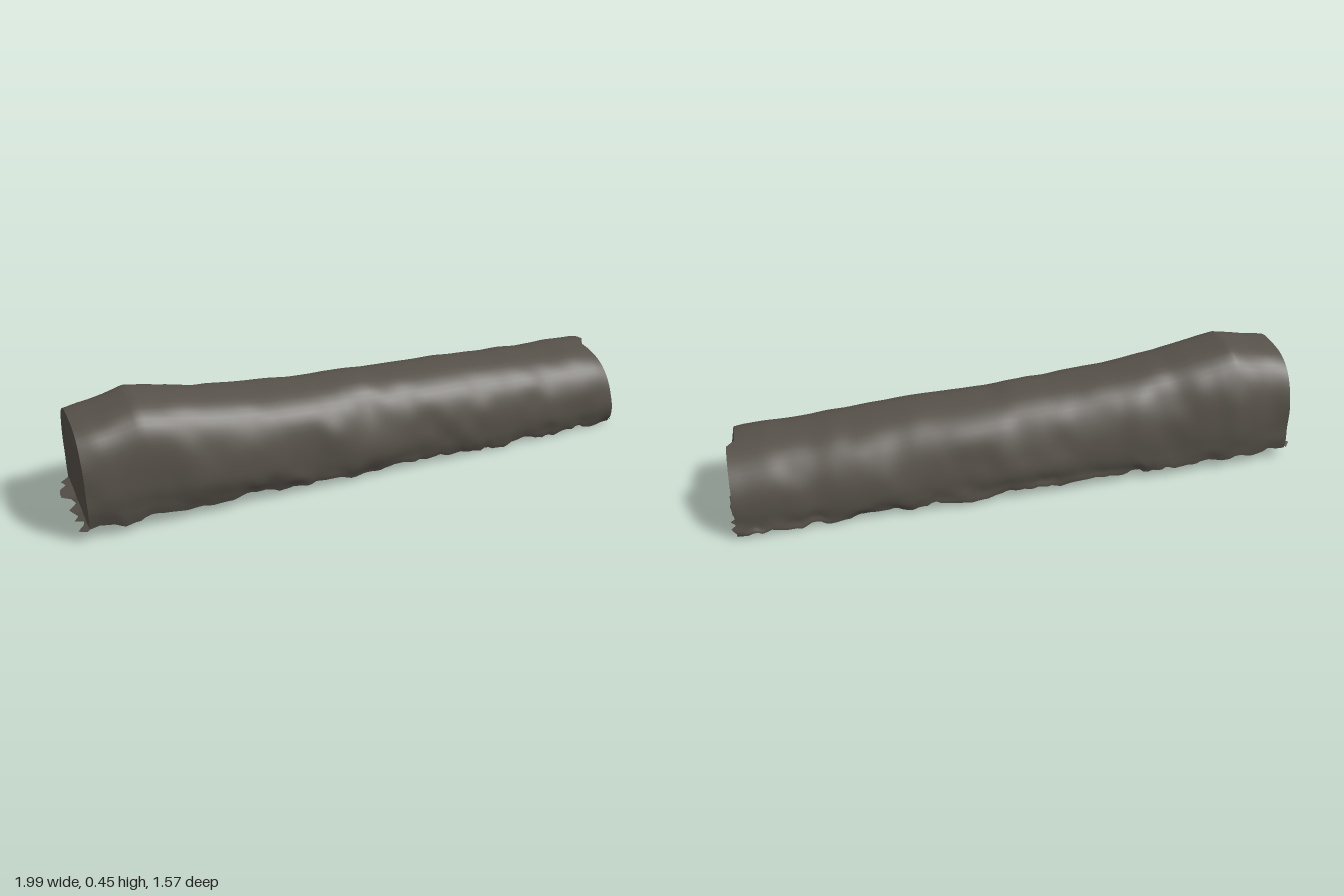
import * as THREE from 'three';

const RINGS = 120, SIDES = 48, HALF = 1.065;

// Linear interpolation through [position, value] stations
const profile = (points) => (u) => {
  let k = 0;
  while (k < points.length - 2 && u > points[k + 1][0]) k++;
  const [a, b] = [points[k], points[k + 1]];
  return THREE.MathUtils.lerp(a[1], b[1], THREE.MathUtils.clamp((u - a[0]) / (b[0] - a[0]), 0, 1));
};

const topY = profile([[-1.07, 0.42], [-0.98, 0.432], [-0.9, 0.45], [-0.85, 0.462], [-0.78, 0.45], [-0.6, 0.408],
  [-0.45, 0.385], [-0.3, 0.375], [0, 0.358], [0.35, 0.337], [0.7, 0.314], [1, 0.303], [1.07, 0.296]]);
const bottomY = profile([[-1.07, 0.053], [0, 0.036], [1.07, 0.014]]);
const halfWidth = profile([[-1.07, 0.207], [-0.6, 0.21], [0, 0.214], [1.07, 0.223]]);
const frontSquareness = profile([[-1.07, 3.6], [-0.7, 3], [0, 2.6], [1.07, 2.7]]);
const backSquareness = profile([[-1.07, 2.6], [0, 2.4], [1.07, 2.3]]);

// Seeded smooth noise in -1..1
const hash = (i, j) => {
  const h = Math.sin(i * 127.1 + j * 311.7) * 43758.5453;
  return 2 * (h - Math.floor(h)) - 1;
};
function noise(x, y) {
  const i = Math.floor(x), j = Math.floor(y), { lerp, smoothstep } = THREE.MathUtils;
  const a = smoothstep(x - i, 0, 1), b = smoothstep(y - j, 0, 1);
  return lerp(lerp(hash(i, j), hash(i + 1, j), a), lerp(hash(i, j + 1), hash(i + 1, j + 1), a), b);
}

// Point on the bark: u runs along the log, v from the front edge over the top to the back edge
function barkPoint(u, v) {
  const t = Math.PI * v - 0.42 * Math.sin(2 * Math.PI * v);
  const c = Math.cos(t), s = Math.max(0, Math.sin(t));
  const e = 2 / (c > 0 ? frontSquareness(u) : backSquareness(u));
  const height = Math.pow(s, e), low = Math.max(0, 1 - height / 0.35);
  const lump = 0.016 * noise(u * 5, v * 6) + 0.01 * noise(u * 13 + 40, v * 11);
  const ragged = low * (0.012 * noise(u * 14, c * 3 + 9) + 0.008 * noise(u * 35, c * 3 + 20));
  const tuck = 1 - (c > 0 ? 0.1 : 0.05) * low * low;
  const b = bottomY(u);
  // The thin cut leans back slightly at its upper front
  const lean = u > 1.0 && c > 0 ? 0.03 * height * ((u - 1.0) / (HALF - 1.0)) : 0;
  return new THREE.Vector3(
    u - lean,
    Math.max(0, b + (topY(u) - b) * height + lump * 0.4 * height + ragged),
    Math.sign(c) * halfWidth(u) * Math.pow(Math.abs(c), e) * tuck * (1 + lump * 2.2)
  );
}

const ring = (u) => Array.from({ length: SIDES + 1 }, (_, j) => barkPoint(u, j / SIDES));

function surface(points, index) {
  const geometry = new THREE.BufferGeometry().setFromPoints(points);
  geometry.setIndex(index);
  geometry.computeVertexNormals();
  return geometry;
}

// Joins equal rows of points into a sheet
function loft(rows) {
  const index = [], n = rows[0].length;
  for (let i = 0; i < rows.length - 1; i++) {
    for (let j = 0; j < n - 1; j++) {
      const a = i * n + j, b = a + n;
      index.push(a, b, a + 1, b, b + 1, a + 1);
    }
  }
  return surface(rows.flat(), index);
}

// Arched bark shell, open underneath
const barkGeometry = () =>
  loft(Array.from({ length: RINGS + 1 }, (_, i) => ring(HALF * ((2 * i) / RINGS - 1))));

// Cut end closing the shell
function endGeometry(side) {
  const points = ring(side * HALF), index = [], n = points.length;
  const centreY = (topY(side * HALF) + bottomY(side * HALF)) / 2;
  points.push(new THREE.Vector3(side * (HALF + 0.005), centreY, 0));
  for (let j = 0; j < n; j++) {
    const k = (j + 1) % n;
    index.push(n, ...(side > 0 ? [j, k] : [k, j]));
  }
  return surface(points, index);
}

// Torn lip of bark sticking out under a cut end
function lipGeometry(side, reach) {
  const inner = [], outer = [], y = bottomY(side * HALF);
  for (let j = 0; j <= 16; j++) {
    const z = 0.19 - (0.38 * j) / 16, out = reach * (0.5 + 0.5 * hash(j, side));
    inner.push(new THREE.Vector3(side * (HALF - 0.01), y + 0.015, z));
    outer.push(new THREE.Vector3(side * (HALF + out), y + 0.006 * hash(j, 5), z));
  }
  return loft(side > 0 ? [inner, outer] : [outer, inner]);
}

export function createModel() {
  const wood = new THREE.MeshStandardMaterial({ color: 0x57524a, side: THREE.DoubleSide });
  wood.name = 'dark weathered wood';

  const log = new THREE.Group();
  log.name = 'log';
  const add = (name, geometry) => {
    const mesh = new THREE.Mesh(geometry, wood);
    mesh.name = name;
    log.add(mesh);
  };
  add('bark', barkGeometry());
  add('thickEnd', endGeometry(-1));
  add('thinEnd', endGeometry(1));
  add('thickEndTornLip', lipGeometry(-1, 0.05));
  add('thinEndTornLip', lipGeometry(1, 0.025));
  log.rotation.y = 0.612; // lies diagonally across the ground

  const model = new THREE.Group();
  model.name = 'fallenLog';
  model.add(log);
  return model;
}
